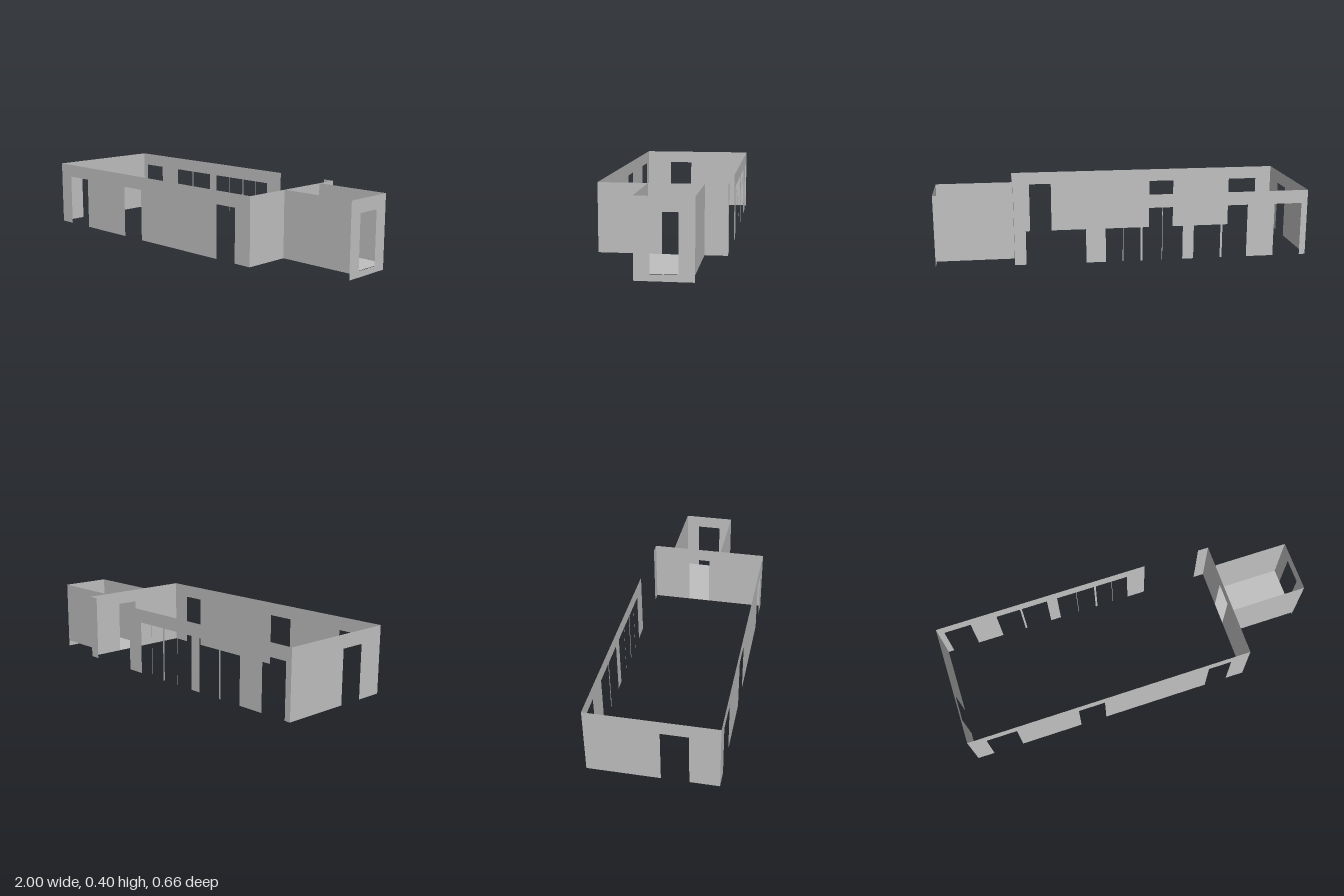
import * as THREE from 'three';

const BASE = 0.035, TOP = 0.395, HEAD = 0.323;

// Thin wall outline from a to b, with door notches cut up from the bottom edge
function wallShape(a, b, doors = []) {
  const s = new THREE.Shape();
  s.moveTo(a, BASE);
  for (const [d0, d1] of doors) {
    s.lineTo(d0, BASE);
    s.lineTo(d0, HEAD);
    s.lineTo(d1, HEAD);
    s.lineTo(d1, BASE);
  }
  s.lineTo(b, BASE);
  s.lineTo(b, TOP);
  s.lineTo(a, TOP);
  s.closePath();
  return s;
}

export function createModel() {
  const model = new THREE.Group();
  model.name = 'floorPlanWalls';
  const grey = new THREE.MeshStandardMaterial({ color: 0xbfbfbf, side: THREE.DoubleSide });
  grey.name = 'plaster grey';

  const add = (name, geometry) => {
    const mesh = new THREE.Mesh(geometry, grey);
    mesh.name = name;
    model.add(mesh);
  };
  // Wall running along x at a given z
  const wallX = (name, z, shape) =>
    add(name, new THREE.ShapeGeometry(shape).translate(0, 0, z));
  // Wall running along z at a given x
  const wallZ = (name, x, shape) =>
    add(name, new THREE.ShapeGeometry(shape).rotateY(-Math.PI / 2).translate(x, 0, 0));

  // Main room
  wallX('frontWall', 0.332, wallShape(-1, 0.58, [[-0.907, -0.74], [-0.395, -0.248], [0.348, 0.477]]));
  wallX('backWall', -0.332, wallShape(-1, 0.204, [
    [-0.967, -0.817],
    [-0.668, -0.532], [-0.521, -0.375],
    [-0.315, -0.205], [-0.202, -0.098], [-0.087, 0.006], [0.009, 0.1],
  ]));
  wallZ('farEndWall', -1, wallShape(-0.332, 0.332, [[0.042, 0.182]]));
  wallZ('dividingWall', 0.58, wallShape(-0.327, 0.332, [[-0.12, 0.005]]));
  wallX('backWallStub', -0.327, wallShape(0.52, 0.58));

  // Annex side walls
  wallX('annexFrontWall', 0.075, wallShape(0.58, 1));
  wallX('annexBackWall', -0.21, wallShape(0.58, 1));

  // Annex end wall reaches the ground and has a framed doorway
  const end = new THREE.Shape();
  end.moveTo(-0.21, 0).lineTo(0.075, 0).lineTo(0.075, TOP).lineTo(-0.21, TOP).closePath();
  const doorway = new THREE.Path();
  doorway.moveTo(-0.134, 0.033).lineTo(-0.134, HEAD).lineTo(0, HEAD).lineTo(0, 0.033).closePath();
  end.holes.push(doorway);
  wallZ('annexEndWall', 1, end);

  // Annex floor
  add('annexFloor', new THREE.PlaneGeometry(0.42, 0.285)
    .rotateX(-Math.PI / 2).translate(0.79, BASE, -0.0675));

  return model;
}
